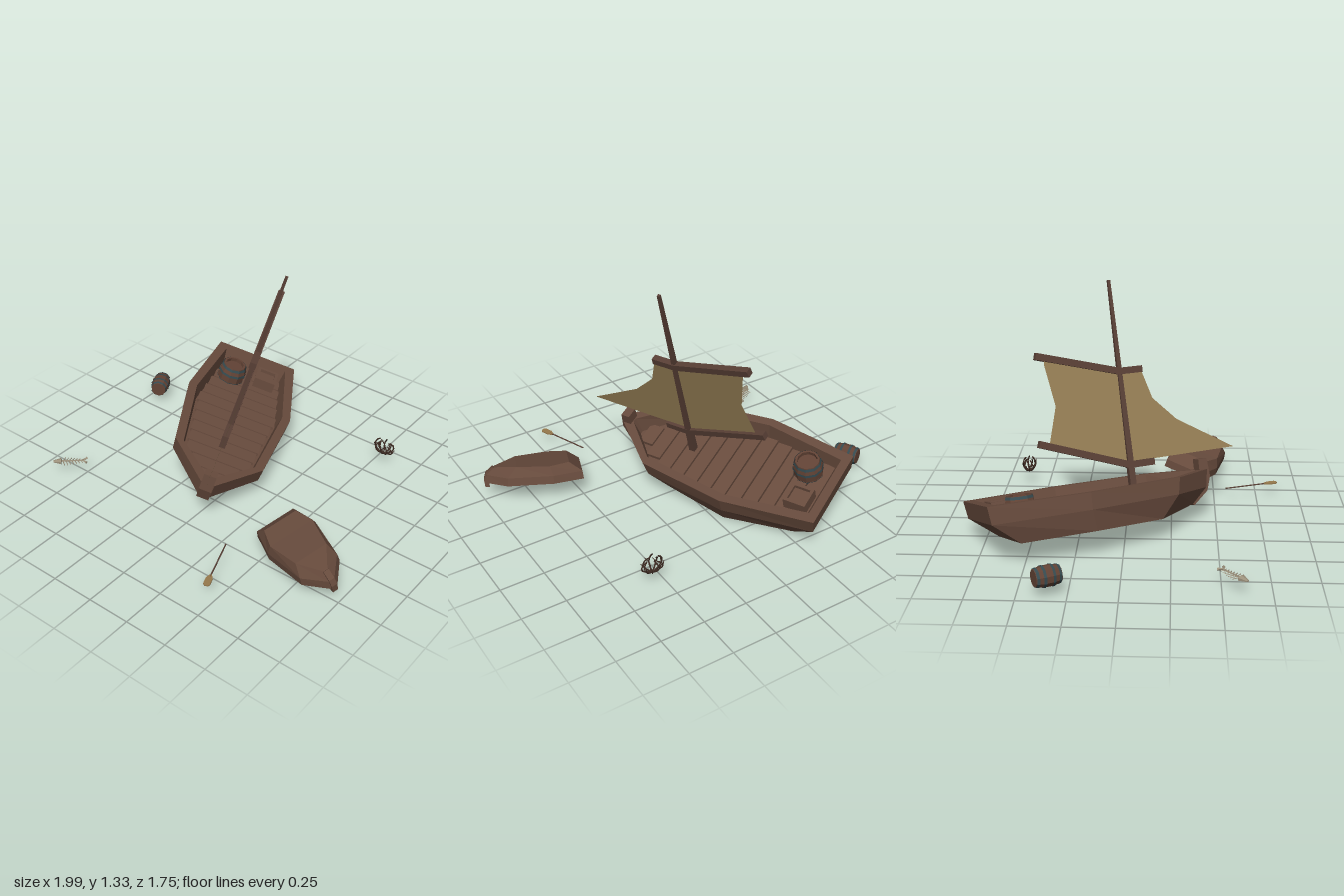
import * as THREE from 'three';

const mat = (name, color) => Object.assign(
  new THREE.MeshStandardMaterial({ color, flatShading: true, side: THREE.DoubleSide }), { name });
const M = {
  hull: mat('hull brown', 0x664a3c),
  plank: mat('plank brown', 0x694c3e),
  spar: mat('spar brown', 0x583f35),
  sail: mat('sail tan', 0x957e55),
  barrel: mat('barrel brown', 0x624335),
  band: mat('band slate', 0x364a4f),
  dark: mat('branch brown', 0x3c2a22),
  bone: mat('bone grey', 0x9c917c),
  blade: mat('oar tan', 0x96794c),
};
const V = (x, y, z) => new THREE.Vector3(x, y, z);

function add(parent, name, geo, material, x = 0, y = 0, z = 0) {
  const m = new THREE.Mesh(geo, material);
  m.name = name;
  m.position.set(x, y, z);
  parent.add(m);
  return m;
}

// Square or round bar between two points
function bar(parent, name, a, b, r0, r1, material, sides = 4) {
  const g = new THREE.CylinderGeometry(r1, r0, a.distanceTo(b), sides);
  if (sides === 4) g.rotateY(Math.PI / 4);
  const m = add(parent, name, g, material);
  m.position.copy(a).lerp(b, 0.5);
  m.quaternion.setFromUnitVectors(V(0, 1, 0), b.clone().sub(a).normalize());
}

// Hollow hull lofted through stations: rim z/half width, chine z/w/y, bottom z/w/y
function hullGeometry(stations, wall, floorY, floorRatio) {
  const last = stations.length - 1;
  const rings = stations.map(([z, w, cz, cw, cy, bz, bw, by], i) => {
    const end = i === 0 ? 1 : i === last ? -1 : 0;
    const iz = z + end * wall, fz = iz + end * wall * 0.6;
    const iw = Math.max(w - wall, 0.012), fw = iw * floorRatio;
    return [[-w, 0, z], [-cw, cy, cz], [-bw, by, bz], [bw, by, bz], [cw, cy, cz], [w, 0, z],
      [iw, 0, iz], [fw, floorY, fz], [-fw, floorY, fz], [-iw, 0, iz]];
  });
  const pos = [];
  const poly = (pts) => {
    for (let k = 1; k < pts.length - 1; k++) pos.push(...pts[0], ...pts[k], ...pts[k + 1]);
  };
  for (let i = 0; i < last; i++) for (let j = 0; j < 10; j++) {
    const n = (j + 1) % 10;
    poly([rings[i][j], rings[i][n], rings[i + 1][n], rings[i + 1][j]]);
  }
  // end walls in two strakes, rim ends and inner end walls
  for (const face of [[0, 1, 4, 5], [1, 2, 3, 4], [0, 5, 6, 9], [6, 7, 8, 9]]) {
    poly(face.map((j) => rings[last][j]));
    poly(face.map((j) => rings[0][j]).reverse());
  }
  const g = new THREE.BufferGeometry();
  g.setAttribute('position', new THREE.Float32BufferAttribute(pos, 3));
  g.computeVertexNormals();
  return g;
}

// Flat outline given as (z, y) points, standing in the boat's centre plane
const outline = (pts) => new THREE.Shape(pts.map(([z, y]) => new THREE.Vector2(z, y)));

function stemGeometry(width) {
  const g = new THREE.ExtrudeGeometry(outline([[0.385, 0.06], [0.437, 0.06], [0.447, -0.04], [0.42, -0.12],
    [0.33, -0.19], [0.31, -0.17], [0.36, -0.1], [0.385, 0]]), { depth: width, bevelEnabled: false });
  return g.translate(0, 0, -width / 2).rotateY(-Math.PI / 2);
}

// Bulging barrel with hoops, centred on its own axis
function makeBarrel(name, r, h, open) {
  const g = new THREE.Group();
  g.name = name;
  const R = (t) => r * (1 - 0.2 * t * t);
  const prof = [-1, -0.4, 0.4, 1].map((t) => new THREE.Vector2(R(t), t * h / 2));
  prof.unshift(new THREE.Vector2(0, -h / 2));
  if (open) prof.push(new THREE.Vector2(R(1) * 0.82, h / 2), new THREE.Vector2(R(1) * 0.82, h * 0.36), new THREE.Vector2(0, h * 0.36));
  else prof.push(new THREE.Vector2(0, h / 2));
  add(g, 'staves', new THREE.LatheGeometry(prof, 10), M.barrel);
  for (const t of [-0.86, -0.36, 0.36, 0.86]) {
    const hoop = [t - 0.1, t + 0.1].map((k) => new THREE.Vector2(R(k) + r * 0.035, k * h / 2));
    add(g, 'hoop', new THREE.LatheGeometry(hoop, 10), M.band);
  }
  return g;
}

function makeBoat() {
  const boat = new THREE.Group();
  boat.name = 'sailingBoat';
  const stations = [
    [-0.9, 0.247, -0.885, 0.24, -0.095, -0.735, 0.205, -0.214],
    [-0.37, 0.32, -0.37, 0.315, -0.09, -0.345, 0.28, -0.206],
    [0.16, 0.26, 0.145, 0.255, -0.09, 0.056, 0.21, -0.212],
    [0.43, 0.04, 0.415, 0.035, -0.1, 0.33, 0.03, -0.18],
  ];
  add(boat, 'hull', hullGeometry(stations, 0.05, -0.095, 0.93), M.hull);
  add(boat, 'stem', stemGeometry(0.07), M.hull);

  // Cross planks on the floor
  for (let z = -0.77; z < 0.3; z += 0.095) {
    const i = z < -0.37 ? 0 : z < 0.16 ? 1 : 2;
    const [z0, w0] = stations[i], [z1, w1] = stations[i + 1];
    const w = w0 + (w1 - w0) * (z + 0.04 - z0) / (z1 - z0) - 0.06;
    add(boat, 'floorPlank', new THREE.BoxGeometry(w * 1.85, 0.02, 0.086), M.plank, 0, -0.086, z);
  }

  // Mast, yard and boom
  bar(boat, 'mast', V(0, -0.1, -0.01), V(0, 1.1, -0.012), 0.026, 0.011, M.spar);
  for (const [name, y, z, tipY, tipZ] of [['yard', 0.6, 0.12, 0.728, -0.482], ['boom', 0.085, 0.13, 0.262, -0.517]]) {
    bar(boat, name, V(0, y, z), V(0, y, -0.03), 0.026, 0.026, M.spar);
    bar(boat, name, V(0, y, -0.015), V(0, tipY, tipZ), 0.026, 0.026, M.spar);
  }

  // Sails
  const sail = (name, pts) => add(boat, name, new THREE.ShapeGeometry(outline(pts)).rotateY(-Math.PI / 2), M.sail);
  sail('mainSail', [[-0.01, 0.09], [-0.01, 0.6], [-0.435, 0.715], [-0.435, 0.673], [-0.398, 0.451], [-0.459, 0.244]]);
  sail('foreSail', [[-0.01, 0.1], [0.63, 0.102], [0.298, 0.299], [0.167, 0.432], [0.119, 0.59], [-0.01, 0.6]]);

  // Barrel and open crate at the stern
  const barrel = makeBarrel('deckBarrel', 0.085, 0.15, true);
  barrel.position.set(-0.11, -0.052, -0.69);
  boat.add(barrel);
  const crate = new THREE.Group();
  crate.name = 'crate';
  crate.position.set(0.1, -0.06, -0.74);
  for (const s of [-1, 1]) {
    add(crate, 'crateSide', new THREE.BoxGeometry(0.018, 0.1, 0.13), M.plank, s * 0.056, 0, 0);
    add(crate, 'crateEnd', new THREE.BoxGeometry(0.096, 0.1, 0.018), M.plank, 0, 0, s * 0.056);
  }
  add(crate, 'crateLid', new THREE.BoxGeometry(0.096, 0.02, 0.096), M.plank, 0, 0.02, 0);
  boat.add(crate);

  boat.rotation.set(0, 0.447, -0.3, 'YXZ');
  boat.position.set(-0.086, 0.287, 0.041);
  return boat;
}

function makeDinghy() {
  const g = new THREE.Group();
  g.name = 'overturnedDinghy';
  add(g, 'dinghyHull', hullGeometry([
    [0, 0.12, 0.005, 0.117, -0.045, 0.075, 0.1, -0.1],
    [0.17, 0.155, 0.17, 0.152, -0.045, 0.185, 0.132, -0.097],
    [0.425, 0.118, 0.42, 0.115, -0.045, 0.37, 0.095, -0.1],
    [0.545, 0.02, 0.535, 0.018, -0.045, 0.49, 0.015, -0.085],
  ], 0.024, -0.07, 0.78), M.hull);
  add(g, 'dinghyStem', stemGeometry(0.07), M.hull, 0, 0, 0.348).scale.setScalar(0.46);
  g.rotation.set(0, 1.19, Math.PI + 0.27, 'YXZ');
  g.position.set(0.473, 0.115, 0.312);
  return g;
}

function makeOar() {
  const g = new THREE.Group();
  g.name = 'oar';
  bar(g, 'oarShaft', V(0, 0, -0.16), V(0, 0, 0.1), 0.004, 0.004, M.spar, 6);
  const blade = new THREE.Shape([[-0.006, 0], [0.006, 0], [0.018, 0.025], [0.018, 0.07], [0.01, 0.08], [-0.01, 0.08], [-0.018, 0.07], [-0.018, 0.025]]
    .map(([x, y]) => new THREE.Vector2(x, y)));
  add(g, 'oarBlade', new THREE.ExtrudeGeometry(blade, { depth: 0.007, bevelEnabled: false }).rotateX(Math.PI / 2), M.blade, 0, 0.0035, 0.085);
  g.rotation.y = 0.36;
  g.position.set(0.388, 0.08, 0.717);
  return g;
}

function makeFishBones() {
  const g = new THREE.Group();
  g.name = 'fishSkeleton';
  bar(g, 'spine', V(0, 0, -0.08), V(0, 0, 0.06), 0.004, 0.005, M.bone, 5);
  for (let i = 0; i < 7; i++) for (const s of [-1, 1]) {
    const z = 0.045 - i * 0.017, len = 0.04 - i * 0.0035;
    bar(g, 'rib', V(0, 0, z), V(s * len, -0.004, z - 0.014), 0.0035, 0.002, M.bone);
  }
  const head = add(g, 'head', new THREE.CylinderGeometry(0.008, 0.025, 0.046, 6).rotateX(Math.PI / 2), M.bone, 0, 0, 0.077);
  head.scale.y = 0.6;
  for (const s of [-1, 1]) bar(g, 'tailFin', V(0, 0, -0.07), V(s * 0.022, 0, -0.092), 0.004, 0.009, M.bone);
  g.rotation.y = -0.85;
  g.position.set(-0.825, 0.085, 0.556);
  return g;
}

// Cluster of curled, spurred branches around a common root
function makeBranches() {
  const g = new THREE.Group();
  g.name = 'curledBranches';
  for (let i = 0; i < 9; i++) {
    const a = i * 0.698 + 0.2, h = 0.065 + 0.035 * ((i * 4) % 9) / 8;
    const at = (r, y, turn = 0) => V(Math.cos(a + turn) * r * 0.06, y, Math.sin(a + turn) * r * 0.038);
    const curve = new THREE.CatmullRomCurve3([at(0, 0.005), at(0.55, 0.015), at(1, h * 0.5), at(0.85, h * 0.85, 0.2), at(0.55, h, 0.35)]);
    add(g, 'branch', new THREE.TubeGeometry(curve, 8, 0.0042, 5), M.dark);
    bar(g, 'spur', at(0.95, h * 0.45), at(1.1, h * 0.75, -0.35), 0.004, 0.002, M.dark);
  }
  g.position.set(0.567, 0.08, -0.62);
  return g;
}

export function createModel() {
  const model = new THREE.Group();
  model.name = 'boatwreck';
  const barrel = makeBarrel('looseBarrel', 0.056, 0.135, false);
  barrel.rotation.set(Math.PI / 2, 0.5, 0, 'YXZ');
  barrel.position.set(-0.928, 0.108, -0.35);
  model.add(makeBoat(), makeDinghy(), makeOar(), makeFishBones(), makeBranches(), barrel);
  return model;
}
